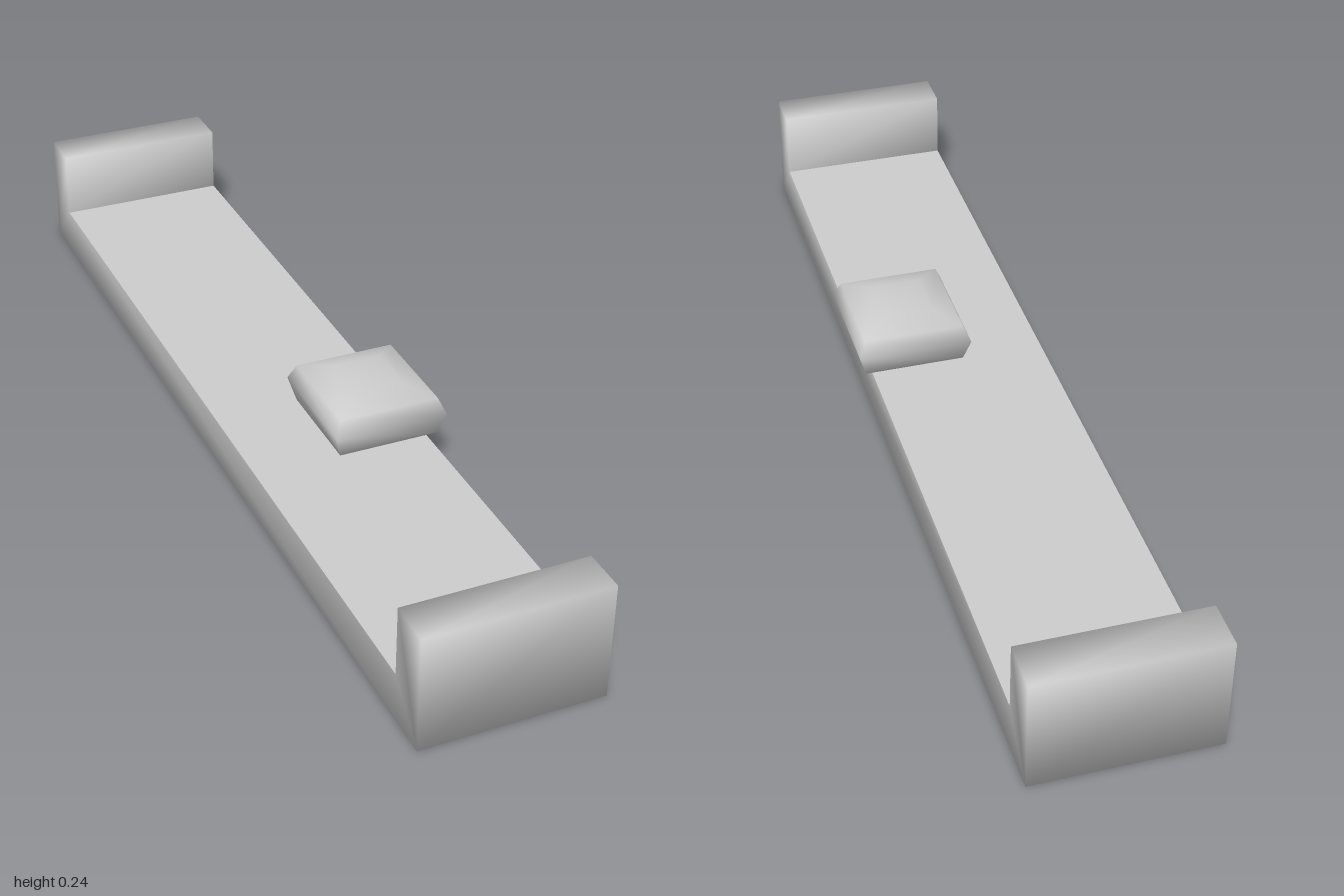
import * as THREE from 'three';
import { mergeVertices } from 'three/addons/utils/BufferGeometryUtils.js';

const material = new THREE.MeshStandardMaterial({ color: 0xcccccc, side: THREE.DoubleSide });

// Weld every corner so the shading rolls softly over the edges
function soften(geometry) {
  geometry.deleteAttribute('normal');
  geometry.deleteAttribute('uv');
  const welded = mergeVertices(geometry, 1e-4);
  welded.computeVertexNormals();
  return welded;
}

// Drop the triangles lying flat at height y
function withoutLevel(geometry, y) {
  const source = geometry.index ? geometry.toNonIndexed() : geometry;
  const p = source.attributes.position;
  const kept = [];
  for (let i = 0; i < p.count; i += 3) {
    const flat = [0, 1, 2].every((k) => Math.abs(p.getY(i + k) - y) < 1e-4);
    if (flat) continue;
    for (let k = 0; k < 3; k++) kept.push(p.getX(i + k), p.getY(i + k), p.getZ(i + k));
  }
  const result = new THREE.BufferGeometry();
  result.setAttribute('position', new THREE.Float32BufferAttribute(kept, 3));
  return result;
}

export function createModel() {
  const group = new THREE.Group();
  const add = (name, geometry) => {
    const mesh = new THREE.Mesh(geometry, material);
    mesh.name = name;
    group.add(mesh);
    return mesh;
  };

  // Bed frame: a U-shaped side outline swept across the width
  const left = 0.167, right = -0.198, width = left - right;
  const floorY = 0.098, wallY = 0.24, frontZ = 0.91, backZ = -0.903;
  const outline = new THREE.Shape([
    [-1, 0], [1, 0], [1, wallY], [-backZ, wallY],
    [-backZ, floorY], [-frontZ, floorY], [-frontZ, wallY], [-1, wallY],
  ].map(([x, y]) => new THREE.Vector2(x, y)));
  const frame = new THREE.ExtrudeGeometry(outline, { depth: width, bevelEnabled: false, steps: 1 });
  frame.rotateY(Math.PI / 2);
  frame.translate(right, 0, 0);
  add('bedFrame', soften(withoutLevel(frame, floorY)));

  // Flat deck between the two end boards
  const deck = new THREE.PlaneGeometry(width, frontZ - backZ).rotateX(-Math.PI / 2);
  add('deck', deck).position.set((left + right) / 2, floorY, (frontZ + backZ) / 2);

  // Cushion: four-sided lathe, widest at its waist
  const profile = [[0, 0.107], [0.104, 0.107], [0.118, 0.155], [0.104, 0.188], [0.052, 0.205], [0, 0.205]]
    .map(([half, y]) => new THREE.Vector2(half * Math.SQRT2, y));
  const cushion = soften(new THREE.LatheGeometry(profile, 4, Math.PI / 4));
  cushion.scale(1, 1, 1.05);
  add('cushion', cushion).position.set(0.079, 0, 0.18);

  return group;
}
